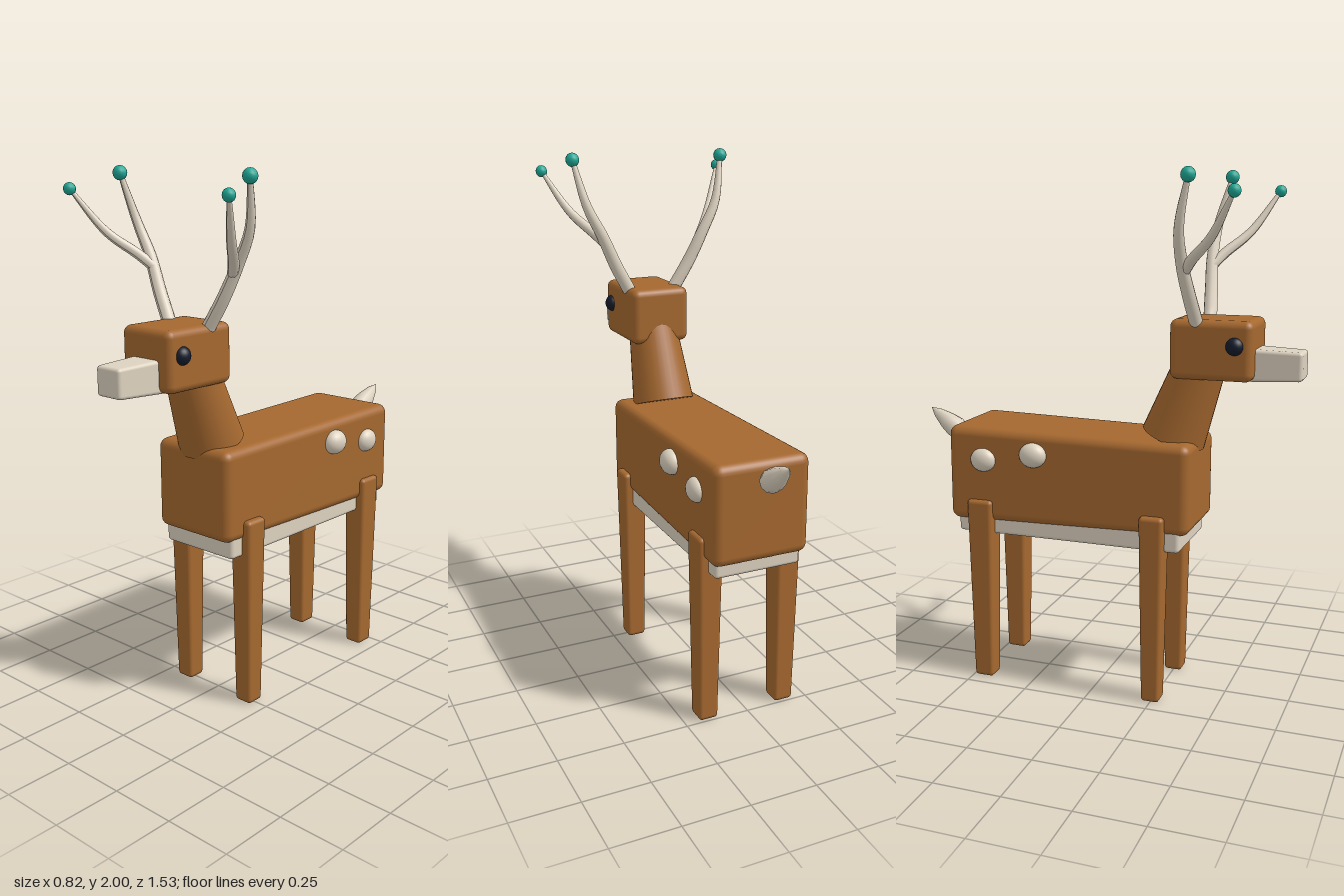
import * as THREE from 'three';
import { RoundedBoxGeometry } from 'three/addons/geometries/RoundedBoxGeometry.js';

const mat = (color) => new THREE.MeshStandardMaterial({ color });
const V = (x, y, z) => new THREE.Vector3(x, y, z);

export function createModel() {
  const model = new THREE.Group();
  const brown = mat(0xa5682f), cream = mat(0xddd2c0), teal = mat(0x1fa896), dark = mat(0x141c2c);

  function add(name, geometry, material, x = 0, y = 0, z = 0) {
    const mesh = new THREE.Mesh(geometry, material);
    mesh.name = name;
    mesh.position.set(x, y, z);
    model.add(mesh);
    return mesh;
  }

  // Rounded box whose cross-section scales linearly along one axis, from s0 to s1
  function taperedBox(w, h, d, radius, axis = 'y', s0 = [1, 1], s1 = [1, 1]) {
    const g = new RoundedBoxGeometry(w, h, d, 3, radius);
    const p = g.attributes.position;
    for (let i = 0; i < p.count; i++) {
      const v = V().fromBufferAttribute(p, i);
      const t = axis === 'y' ? v.y / h + 0.5 : v.z / d + 0.5;
      v.x *= THREE.MathUtils.lerp(s0[0], s1[0], t);
      v[axis === 'y' ? 'z' : 'y'] *= THREE.MathUtils.lerp(s0[1], s1[1], t);
      p.setXYZ(i, v.x, v.y, v.z);
    }
    return g;
  }

  // Round tube along a curve with a radius that shrinks towards the tip
  function taperedTube(points, r0, r1) {
    const curve = new THREE.CatmullRomCurve3(points);
    const segments = 16, sides = 10;
    const g = new THREE.TubeGeometry(curve, segments, 1, sides);
    const p = g.attributes.position;
    for (let i = 0; i < p.count; i++) {
      const t = Math.floor(i / (sides + 1)) / segments;
      const c = curve.getPointAt(t);
      const v = V().fromBufferAttribute(p, i).sub(c);
      v.multiplyScalar(THREE.MathUtils.lerp(r0, r1, t * t)).add(c);
      p.setXYZ(i, v.x, v.y, v.z);
    }
    g.computeVertexNormals();
    return g;
  }

  // Aim a mesh's y axis along a direction
  const aim = (mesh, dir) => mesh.quaternion.setFromUnitVectors(V(0, 1, 0), dir.normalize());

  // Torso, slightly slimmer at the chest, and belly panel
  add('body', taperedBox(0.38, 0.37, 0.975, 0.035, 'z', [1, 1.02], [0.94, 0.93]), brown, 0, 0.84, -0.1025);
  add('belly', taperedBox(0.34, 0.1, 0.91, 0.015), cream, 0, 0.65, -0.105);

  // Neck and head
  const neckBase = V(0, 1.01, 0.275), neckTop = V(0, 1.34, 0.393);
  const neckAxis = neckTop.clone().sub(neckBase);
  const neck = add('neck', new THREE.CylinderGeometry(0.093, 0.123, neckAxis.length(), 32), brown);
  neck.position.copy(neckBase).add(neckTop).multiplyScalar(0.5);
  aim(neck, neckAxis);
  add('head', taperedBox(0.24, 0.22, 0.31, 0.028), brown, 0, 1.36, 0.44);
  const snout = add('snout', taperedBox(0.142, 0.122, 0.22, 0.014, 'z', [1, 1], [0.8, 0.86]), cream, 0, 1.307, 0.655);
  snout.name = 'snout';

  // Tail bud
  const tailProfile = [[0, 0], [0.026, 0.004], [0.04, 0.025], [0.044, 0.055], [0.037, 0.095], [0.02, 0.15], [0, 0.185]]
    .map(([r, y]) => new THREE.Vector2(r, y));
  const tail = add('tail', new THREE.LatheGeometry(tailProfile, 10), cream, 0, 0.95, -0.61);
  aim(tail, V(0, 0.105, -0.15));

  for (const [side, s] of [['left', 1], ['right', -1]]) {
    // Legs
    for (const [end, z, depth] of [['Front', 0.248, 0.096], ['Back', -0.455, 0.106]]) {
      add(side + end + 'Leg', taperedBox(0.098, 0.74, depth, 0.016, 'y', [0.76, 0.74], [1, 1]), brown, s * 0.158, 0.37, z);
    }

    // Eye and flank spots
    const ball = new THREE.SphereGeometry(1, 20, 14);
    add(side + 'Eye', ball, dark, s * 0.115, 1.38, 0.53).scale.set(0.03, 0.033, 0.033);
    add(side + 'FrontSpot', ball, cream, s * 0.19, 0.937, -0.228).scale.set(0.04, 0.048, 0.055);
    add(side + 'BackSpot', ball, cream, s * 0.188, 0.902, -0.439).scale.set(0.034, 0.046, 0.052);

    // Antler beam and branch with a bead on each tip
    const beam = [[0.1, 1.46, 0.383], [0.16, 1.565, 0.37], [0.215, 1.68, 0.358], [0.275, 1.8, 0.364], [0.315, 1.975, 0.405]];
    const branch = [[0.195, 1.645, 0.362], [0.235, 1.69, 0.4], [0.305, 1.77, 0.485], [0.385, 1.922, 0.58]];
    for (const [name, pts, r0, r1, bead] of [['Antler', beam, 0.026, 0.009, 0.027], ['AntlerBranch', branch, 0.02, 0.007, 0.023]]) {
      const path = pts.map(([x, y, z]) => V(s * x, y, z));
      add(side + name, taperedTube(path, r0, r1), cream);
      const tip = path[path.length - 1];
      add(side + name + 'Bead', new THREE.SphereGeometry(bead, 12, 8), teal, tip.x, tip.y, tip.z);
    }
    // Rounded antler root
    add(side + 'AntlerRoot', new THREE.SphereGeometry(0.026, 12, 8), cream, s * 0.1, 1.46, 0.383);
  }

  return model;
}
